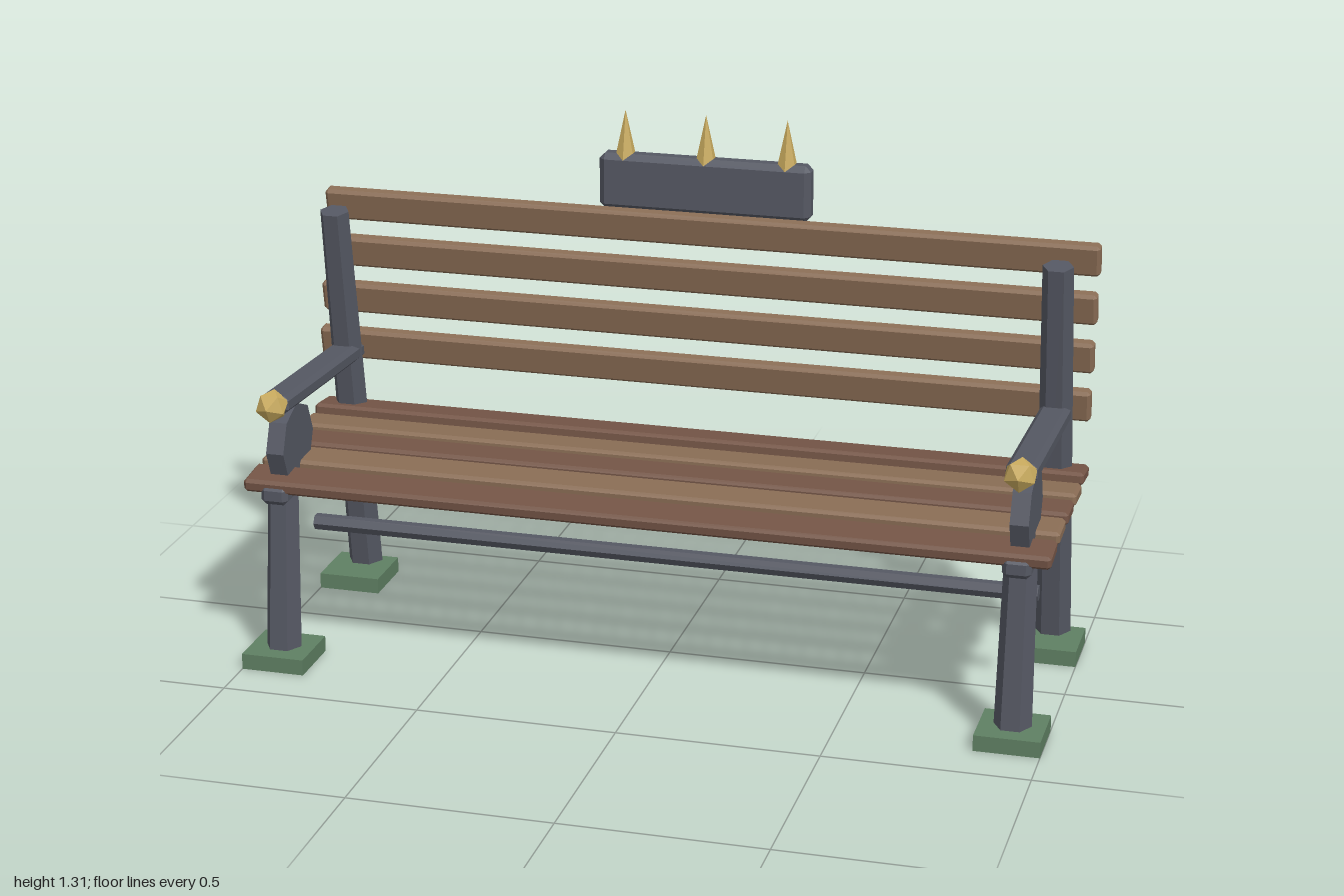
import * as THREE from 'three';
import { ConvexGeometry } from 'three/addons/geometries/ConvexGeometry.js';

const mat = (color) => new THREE.MeshStandardMaterial({ color, flatShading: true });

// Box with every edge chamfered by c
function chamferBox(w, h, d, c) {
  const pts = [];
  for (const sx of [-1, 1]) for (const sy of [-1, 1]) for (const sz of [-1, 1]) {
    const x = w / 2, y = h / 2, z = d / 2;
    pts.push(
      new THREE.Vector3(sx * x, sy * (y - c), sz * (z - c)),
      new THREE.Vector3(sx * (x - c), sy * y, sz * (z - c)),
      new THREE.Vector3(sx * (x - c), sy * (y - c), sz * z)
    );
  }
  return new ConvexGeometry(pts);
}

export function createModel() {
  const bench = new THREE.Group();
  bench.name = 'bench';
  const iron = mat(0x555863), gold = mat(0xc8aa5e), stone = mat(0x5f8063);
  const woodLight = mat(0x8a6d55), woodDark = mat(0x745546);

  function add(parent, name, geometry, material, x, y, z, rx = 0) {
    const mesh = new THREE.Mesh(geometry, material);
    mesh.name = name;
    mesh.position.set(x, y, z);
    mesh.rotation.x = rx;
    parent.add(mesh);
    return mesh;
  }

  // Six-sided tapered post between two [y, z] points, flat sides facing front and back
  function post(parent, name, x, [y0, z0], [y1, z1], r0, r1) {
    const geo = new THREE.CylinderGeometry(r1, r0, Math.hypot(y1 - y0, z1 - z0), 6);
    geo.rotateY(Math.PI / 6);
    add(parent, name, geo, iron, x, (y0 + y1) / 2, (z0 + z1) / 2, Math.atan2(z1 - z0, y1 - y0));
  }

  // Two end frames
  for (const side of [-1, 1]) {
    const frame = new THREE.Group();
    frame.name = side > 0 ? 'leftFrame' : 'rightFrame';
    const x = side * 0.92;
    add(frame, 'frontFoot', new THREE.BoxGeometry(0.16, 0.04, 0.16), stone, x, 0.02, 0.298);
    add(frame, 'backFoot', new THREE.BoxGeometry(0.16, 0.04, 0.16), stone, x, 0.02, -0.252);
    post(frame, 'frontLeg', x, [0.03, 0.294], [0.45, 0.259], 0.046, 0.04);
    post(frame, 'backPost', x, [0.038, -0.305], [1.042, -0.156], 0.046, 0.038);
    add(frame, 'seatRail', chamferBox(0.07, 0.05, 0.615, 0.012), iron, x, 0.448, 0.022);
    add(frame, 'armRest', chamferBox(0.075, 0.046, 0.62, 0.012), iron, x, 0.662, -0.002, -0.051);
    // Vertex of the finial points straight forward
    add(frame, 'armFinial', new THREE.IcosahedronGeometry(0.042), gold, x, 0.677, 0.31, 0.5536);
    const disc = new THREE.CylinderGeometry(0.102, 0.102, 0.045, 8);
    disc.rotateZ(Math.PI / 2);
    add(frame, 'armDisc', disc, iron, x, 0.55, 0.205);
    bench.add(frame);
  }

  // Seat slats, front to back: y, z, tilt
  const seat = new THREE.Group();
  seat.name = 'seat';
  const seatSlat = chamferBox(2, 0.034, 0.1, 0.008);
  [
    [0.472, 0.274, 0.11], [0.483, 0.149, 0.05], [0.483, 0.022, 0],
    [0.483, -0.103, -0.05], [0.492, -0.221, -0.1]
  ].forEach(([y, z, tilt], i) =>
    add(seat, 'seatSlat', seatSlat, i % 2 ? woodLight : woodDark, 0, y, z, tilt));
  bench.add(seat);

  // Back slats, bottom to top
  const back = new THREE.Group();
  back.name = 'backRest';
  const backSlat = chamferBox(2, 0.082, 0.037, 0.008);
  for (let i = 0; i < 4; i++) {
    add(back, 'backSlat', backSlat, woodLight, 0, 0.664 + i * 0.117, -0.254 - i * 0.0227, 0.18);
  }
  bench.add(back);

  // Stretcher bar between the end frames
  const bar = new THREE.CylinderGeometry(0.021, 0.021, 1.86, 6);
  bar.rotateZ(Math.PI / 2);
  // Edge of the bar points up
  add(bench, 'stretcher', bar, iron, 0, 0.268, 0.022);

  // Crest block with three spikes
  const crest = new THREE.Group();
  crest.name = 'crest';
  add(crest, 'crestBlock', chamferBox(0.545, 0.145, 0.056, 0.015), iron, 0, 1.123, -0.345);
  for (const x of [-0.208, 0, 0.208]) {
    add(crest, 'spike', new THREE.ConeGeometry(0.028, 0.125, 6), gold, x, 1.243, -0.345);
  }
  bench.add(crest);

  return bench;
}
